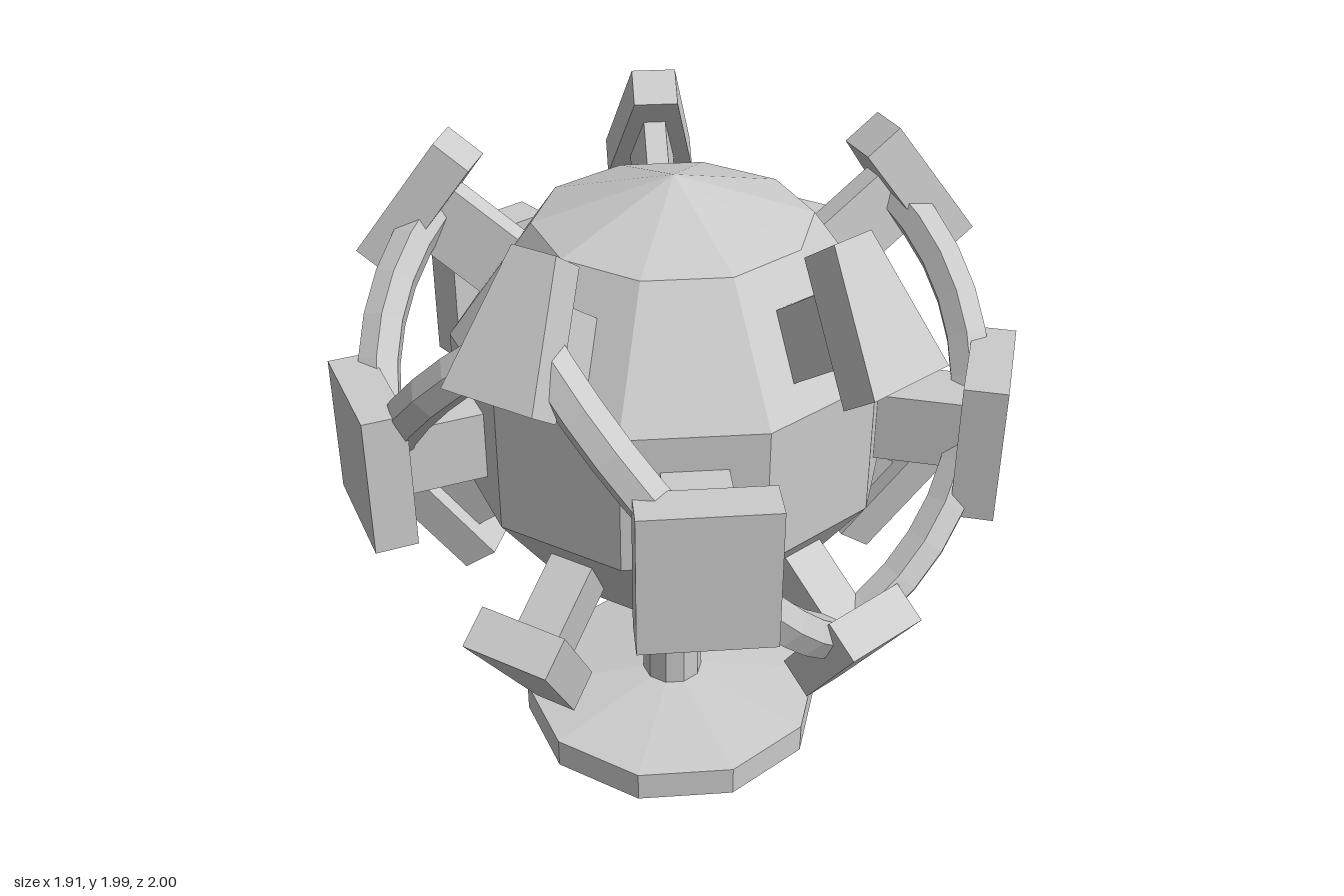
import * as THREE from 'three';

const CENTRE = new THREE.Vector3(0.03, 1.245, 0);
const SIDES = 10;
const STEP = Math.PI / 5;
const material = new THREE.MeshStandardMaterial({ color: 0xcccccc, flatShading: true, side: THREE.DoubleSide });

function part(name, geometry) {
  const mesh = new THREE.Mesh(geometry, material);
  mesh.name = name;
  return mesh;
}

// Unit direction from the globe's centre; angle runs from +x towards +z
function direction(angle, tilt) {
  return new THREE.Vector3(
    Math.cos(tilt) * Math.cos(angle), Math.sin(tilt), Math.cos(tilt) * Math.sin(angle));
}

// Slab between two radii, its width running from bottom to top
function slab(bottom, top, height, inner, outer) {
  const g = new THREE.BoxGeometry(1, height, outer - inner);
  const p = g.attributes.position;
  for (let i = 0; i < p.count; i++) p.setX(i, p.getX(i) * (p.getY(i) > 0 ? top : bottom));
  return g.translate(0, 0, (inner + outer) / 2);
}

// Outer plate on a half-size post, pointing away from the globe
function spoke(name, angle, tilt, bottom, top, height) {
  const group = new THREE.Group();
  group.name = name;
  group.add(
    part('plate', slab(bottom, top, height, 0.865, 0.99)),
    part('post', slab(bottom / 2, top / 2, height / 2, 0.57, 0.88)));
  group.position.copy(CENTRE);
  group.rotation.set(-tilt, Math.PI / 2 - angle, 0, 'YXZ');
  return group;
}

// Great-circle arc between two plates
class ArcPath extends THREE.Curve {
  constructor(from, to, radius) {
    super();
    Object.assign(this, { from, to, radius, span: from.angleTo(to) });
  }
  getPoint(t, target = new THREE.Vector3()) {
    return target.copy(this.from).multiplyScalar(Math.sin((1 - t) * this.span))
      .addScaledVector(this.to, Math.sin(t * this.span))
      .multiplyScalar(this.radius / Math.sin(this.span)).add(CENTRE);
  }
}

export function createModel() {
  const model = new THREE.Group();
  model.name = 'globeOnStand';

  // Globe
  const globe = part('globe', new THREE.SphereGeometry(0.69, SIDES, 5).rotateY(Math.PI / 10));
  globe.position.copy(CENTRE);
  model.add(globe);

  // Stand
  const stand = [
    ['column', 0.098, 0.098, 0.13, 0.62],
    ['baseSlope', 0.1, 0.49, 0.1, 0.155],
    ['baseDisc', 0.49, 0.49, 0, 0.1],
  ];
  for (const [name, top, bottom, y0, y1] of stand) {
    const mesh = part(name, new THREE.CylinderGeometry(top, bottom, y1 - y0, SIDES));
    mesh.position.set(CENTRE.x, (y0 + y1) / 2, 0);
    model.add(mesh);
  }

  // Three rings of five plates; the link pipe zigzags over or under each gap
  const pipeGoesUp = [false, true, true, false, true];
  for (let i = 0; i < 5; i++) {
    const angle = i * 2 * STEP;
    model.add(
      spoke('upperPlate', angle, STEP, 0.28, 0.135, 0.4),
      spoke('lowerPlate', angle, -STEP, 0.135, 0.28, 0.4),
      spoke('middlePlate', angle + STEP, 0, 0.375, 0.375, 0.425));

    const turn = direction(angle, pipeGoesUp[i] ? STEP : -STEP);
    for (const side of [-1, 1]) {
      const path = new ArcPath(direction(angle + side * STEP, 0), turn, 0.885);
      model.add(part('linkPipe', new THREE.TubeGeometry(path, 6, 0.065, 6)));
    }
  }
  return model;
}
